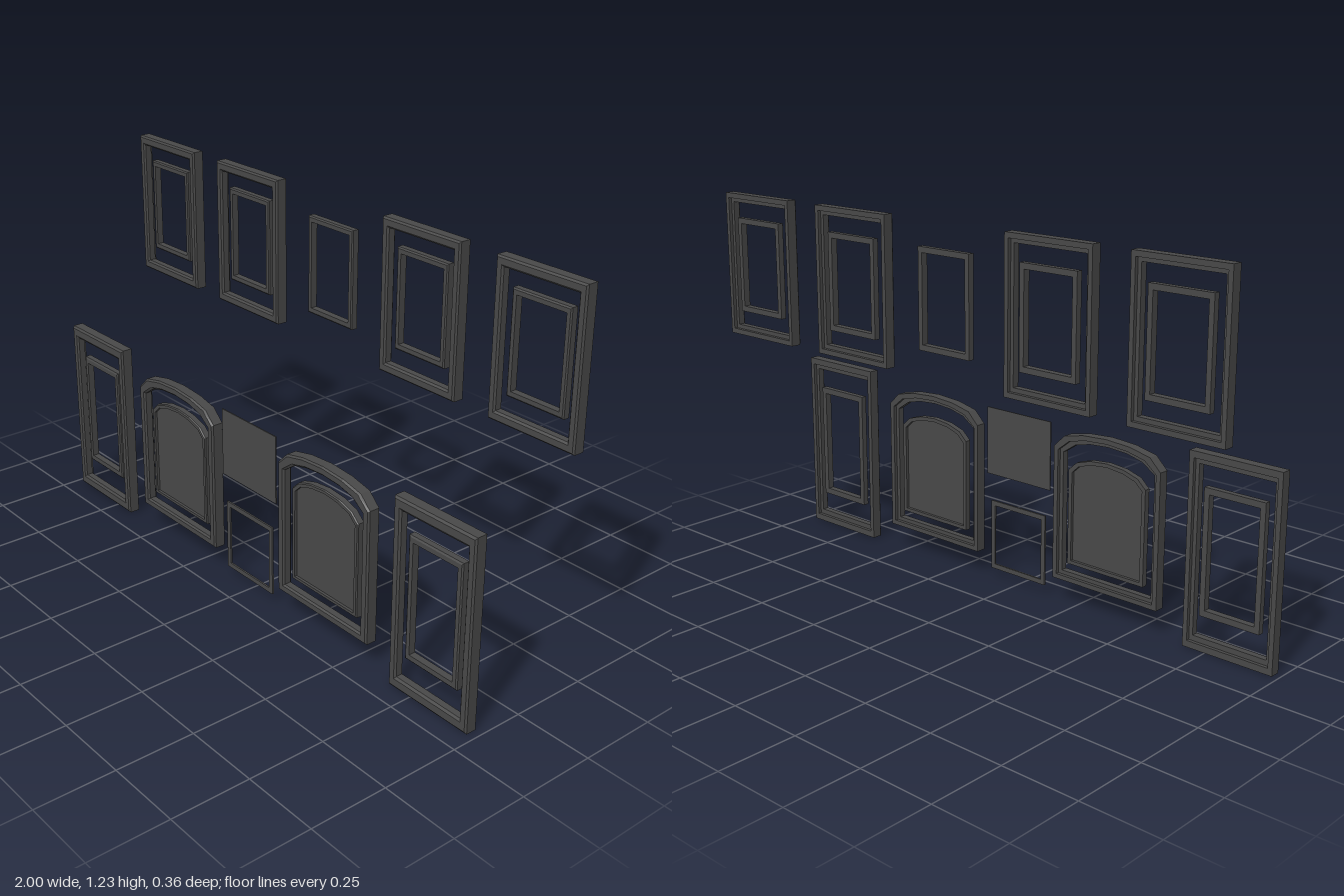
import * as THREE from 'three';

const charcoal = new THREE.MeshStandardMaterial({ color: 0x484848 });
charcoal.name = 'charcoal';

// Moulding sections: [0 = outer edge .. 1 = inner edge, 0 = back .. 1 = front]
const MOULDED = [[0, 0], [0, 0.86], [0.18, 1], [0.8, 1], [1, 0.86], [1, 0.3], [0.55, 0.3], [0.55, 0]];
const PLAIN = [[0, 0], [0, 0.85], [0.25, 1], [1, 1], [1, 0]];
const FLAT = [[0, 0], [0, 1], [1, 1], [1, 0]];

// Sweep a section between two matching outlines
function ring(name, outer, inner, section, z0, z1) {
  const pos = [];
  const at = (i, k) => {
    const a = outer[i % outer.length], b = inner[i % outer.length];
    const [t, d] = section[k % section.length];
    return [a[0] + (b[0] - a[0]) * t, a[1] + (b[1] - a[1]) * t, z0 + (z1 - z0) * d];
  };
  for (let i = 0; i < outer.length; i++) {
    for (let k = 0; k < section.length; k++) {
      const a = at(i, k), b = at(i + 1, k), c = at(i + 1, k + 1), d = at(i, k + 1);
      pos.push(...a, ...b, ...c, ...a, ...c, ...d);
    }
  }
  const geo = new THREE.BufferGeometry();
  geo.setAttribute('position', new THREE.Float32BufferAttribute(pos, 3));
  geo.computeVertexNormals();
  const mesh = new THREE.Mesh(geo, charcoal);
  mesh.name = name;
  return mesh;
}

const rect = (hw, y0, y1) => [[-hw, y0], [hw, y0], [hw, y1], [-hw, y1]];

function rectFrame(name, hw, y0, y1, bx, by, section, z0, z1) {
  return ring(name, rect(hw, y0, y1), rect(hw - bx, y0 + by, y1 - by), section, z0, z1);
}

// Straight sides with a shallow faceted arch, mirrored about x = 0
function arch(hw, y0, side, shoulderX, shoulderY, midY, top) {
  const right = [[hw, y0], [hw, side], [shoulderX, shoulderY], [shoulderX * 0.55, midY]];
  return [...right, [0, top], ...right.map(([x, y]) => [-x, y]).reverse()];
}

// Thin flat sheet cut to an outline
function sheet(name, outline, z, thick) {
  const shape = new THREE.Shape(outline.map(([x, y]) => new THREE.Vector2(x, y)));
  const geo = new THREE.ExtrudeGeometry(shape, { depth: thick, bevelEnabled: false });
  geo.translate(0, 0, z - thick / 2);
  const mesh = new THREE.Mesh(geo, charcoal);
  mesh.name = name;
  return mesh;
}

export function createModel() {
  const model = new THREE.Group();
  model.name = 'windowTrimSet';
  const place = (name, x, ...parts) => {
    const g = new THREE.Group();
    g.name = name;
    g.position.x = x;
    g.add(...parts);
    model.add(g);
  };

  // Upper row: four cased windows and one bare sash
  const upperSash = () => rectFrame('sash', 0.103, 0.835, 1.15, 0.016, 0.018, PLAIN, -0.178, -0.155);
  for (const x of [-0.843, -0.402, 0.396, 0.843]) {
    place('upperWindow', x,
      rectFrame('casing', 0.157, 0.753, 1.23, 0.026, 0.03, MOULDED, -0.182, -0.143),
      upperSash());
  }
  place('upperCentreWindow', -0.002, upperSash());

  // Lower row: tall windows at the ends
  for (const x of [-0.825, 0.819]) {
    place('tallWindow', x,
      rectFrame('casing', 0.155, 0, 0.61, 0.028, 0.038, MOULDED, 0.143, 0.182),
      rectFrame('sash', 0.103, 0.11, 0.508, 0.018, 0.02, PLAIN, 0.148, 0.171));
  }

  // Arched windows with a filled pane
  for (const x of [-0.368, 0.363]) {
    const paneEdge = arch(0.134, 0.152, 0.443, 0.108, 0.467, 0.482, 0.488);
    place('archedWindow', x,
      ring('archedCasing',
        arch(0.203, 0.08, 0.517, 0.163, 0.556, 0.572, 0.578),
        arch(0.174, 0.108, 0.5, 0.128, 0.531, 0.545, 0.55), MOULDED, 0.143, 0.182),
      ring('archedSash',
        arch(0.147, 0.14, 0.45, 0.117, 0.478, 0.494, 0.5), paneEdge, PLAIN, 0.148, 0.171),
      sheet('pane', paneEdge, 0.16, 0.004));
  }

  // Centre: plain sheet above a slim square frame
  place('centrePanel', -0.002, sheet('panel', rect(0.133, 0.358, 0.583), 0.163, 0.004));
  place('squareWindow', -0.002,
    rectFrame('squareFrame', 0.115, 0.032, 0.268, 0.016, 0.016, FLAT, 0.16, 0.166));

  return model;
}
